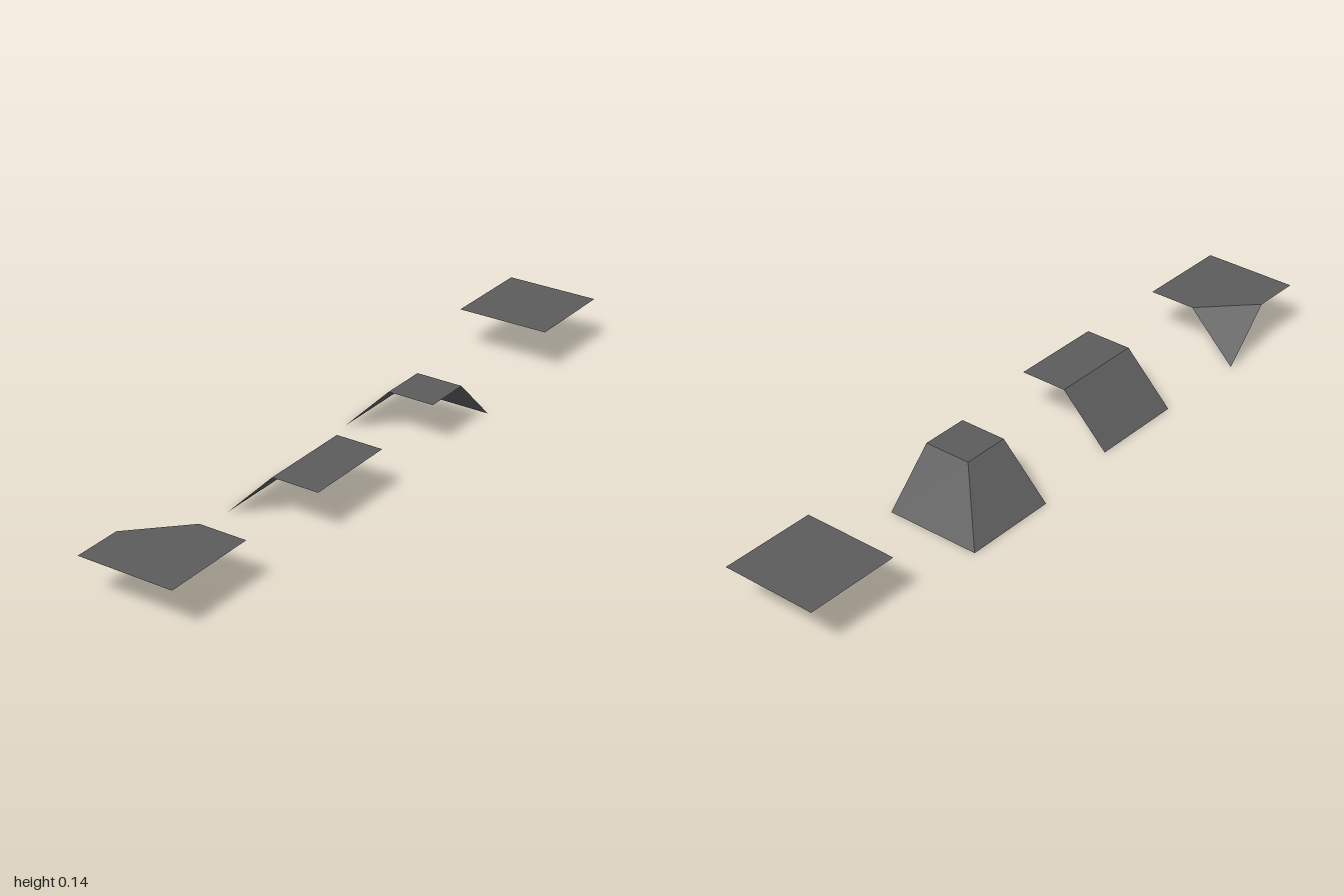
import * as THREE from 'three';

const HALF = 0.142; // half a tile, also about the height of the top

// One flat convex panel; corners are [x, y, z] in half-tile units, anticlockwise from above
function panel(name, corners, material) {
  const pts = corners.map(([x, y, z]) => new THREE.Vector3(x, y, z).multiplyScalar(HALF));
  const tris = [];
  for (let i = 1; i < pts.length - 1; i++) tris.push(pts[0], pts[i], pts[i + 1]);
  const geometry = new THREE.BufferGeometry().setFromPoints(tris);
  geometry.computeVertexNormals();
  const mesh = new THREE.Mesh(geometry, material);
  mesh.name = name;
  return mesh;
}

export function createModel() {
  const model = new THREE.Group();
  model.name = 'terrainTiles';
  const stone = new THREE.MeshStandardMaterial({ color: 0x5c5c5c, side: THREE.DoubleSide });
  stone.name = 'dark grey';

  function tile(name, x, z, panels) {
    const group = new THREE.Group();
    group.name = name;
    group.position.set(x, 0, z);
    for (const [part, corners] of Object.entries(panels)) group.add(panel(part, corners, stone));
    model.add(group);
  }

  // Level tile
  tile('flatTile', -0.008, -0.858, {
    top: [[-1, 1, 1], [1, 1, 1], [1, 1, -1], [-1, 1, -1]],
  });

  // Outer corner: two slopes meeting at a hip
  tile('outerCornerTile', -0.018, -0.288, {
    top: [[0, 1, 1], [1, 1, 1], [1, 1, 0], [0, 1, 0]],
    sideSlope: [[-1, 0, 1], [0, 1, 1], [0, 1, 0], [-1, 0, -1]],
    backSlope: [[0, 1, 0], [1, 1, 0], [1, 0, -1], [-1, 0, -1]],
  });

  // Straight edge: half level, half slope
  tile('edgeTile', 0.013, 0.283, {
    top: [[0, 1, 1], [1, 1, 1], [1, 1, -1], [0, 1, -1]],
    sideSlope: [[-1, 0, 1], [0, 1, 1], [0, 1, -1], [-1, 0, -1]],
  });

  // Inner corner: level with one corner folded down
  tile('innerCornerTile', 0.009, 0.858, {
    top: [[-1, 1, 1], [1, 1, 1], [1, 1, -1], [0, 1, -1], [-1, 1, 0]],
    cornerSlope: [[-1, 1, 0], [0, 1, -1], [-1, 0, -1]],
  });

  return model;
}
